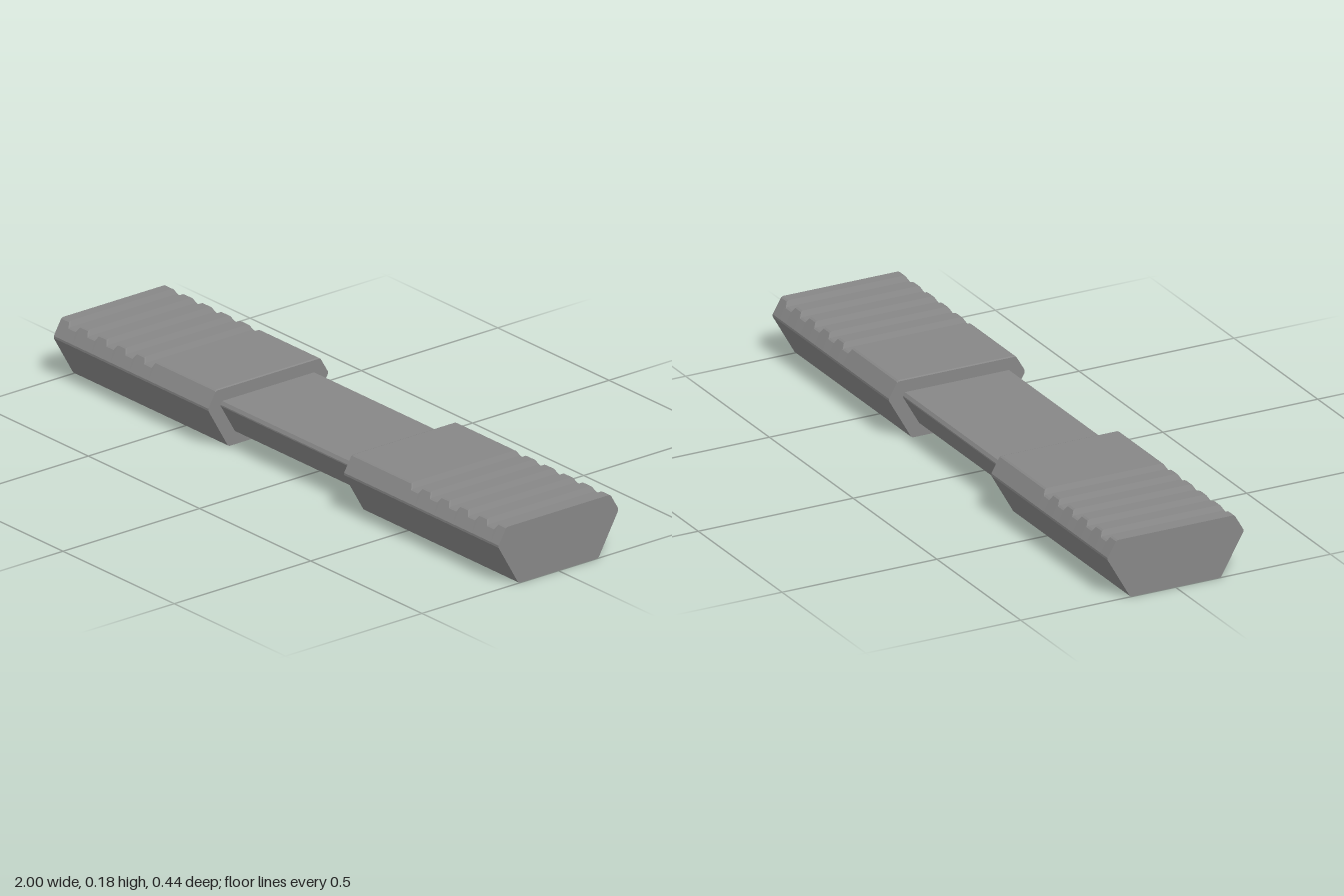
import * as THREE from 'three';

const material = new THREE.MeshStandardMaterial({ color: 0x878787, flatShading: true });

// Skin a list of equal-length rings (arrays of [x, y, z]) and cap both ends.
function loft(rings) {
  const pos = [];
  const tri = (a, b, c) => pos.push(...a, ...b, ...c);
  const n = rings[0].length;
  for (let r = 0; r < rings.length - 1; r++) {
    const a = rings[r], b = rings[r + 1];
    for (let i = 0; i < n; i++) {
      const j = (i + 1) % n;
      tri(a[i], a[j], b[j]);
      tri(a[i], b[j], b[i]);
    }
  }
  const first = rings[0], last = rings[rings.length - 1];
  for (let i = 1; i < n - 1; i++) {
    tri(first[0], first[i + 1], first[i]);
    tri(last[0], last[i], last[i + 1]);
  }
  const geometry = new THREE.BufferGeometry();
  geometry.setAttribute('position', new THREE.Float32BufferAttribute(pos, 3));
  geometry.computeVertexNormals();
  return geometry;
}

// Six-sided grip section at x, cut off at height top, with small chamfered corners.
function gripSection(x, top) {
  const topZ = 0.19 + (0.184 - top) * 0.57;
  const half = [[0.146, 0], [0.221, 0.131], [topZ, top]];
  const corners = [half[0], ...half.map(([z, y]) => [-z, y]), half[2], half[1]];
  const ring = [];
  corners.forEach((p, i) => {
    const prev = corners[(i + 5) % 6], next = corners[(i + 1) % 6];
    for (const q of [prev, next]) {
      const t = 0.004 / Math.hypot(q[0] - p[0], q[1] - p[1]);
      ring.push([x, p[1] + (q[1] - p[1]) * t, p[0] + (q[0] - p[0]) * t]);
    }
  });
  return ring;
}

// Grip with five steep-walled grooves across its top.
function gripGeometry() {
  const top = 0.184, floor = 0.169;
  const rings = [gripSection(0.305, top - 0.002), gripSection(0.31, top)];
  for (let i = 0; i < 5; i++) {
    const x = 0.6 + i * 0.085;
    rings.push(
      gripSection(x - 0.025, top), gripSection(x - 0.016, floor),
      gripSection(x + 0.016, floor), gripSection(x + 0.025, top));
  }
  rings.push(gripSection(1, top));
  return loft(rings);
}

// Rectangular ring at height y.
const rect = (y, x, z) => [[x, y, z], [x, y, -z], [-x, y, -z], [-x, y, z]];

export function createModel() {
  const group = new THREE.Group();
  group.name = 'doubleEndedGripBar';

  // Two matching grips
  const geometry = gripGeometry();
  for (const side of [1, -1]) {
    const grip = new THREE.Mesh(geometry, material);
    grip.name = side > 0 ? 'leftGrip' : 'rightGrip';
    if (side < 0) grip.rotation.y = Math.PI;
    group.add(grip);
  }

  // Connecting bar: recess floor, recess rim, underside, widest line, top
  const bar = new THREE.Mesh(loft([
    rect(0.1, 0.26, 0.09),
    rect(0.041, 0.28, 0.105),
    rect(0.041, 0.306, 0.122),
    rect(0.131, 0.306, 0.174),
    rect(0.135, 0.306, 0.174),
    rect(0.145, 0.306, 0.168),
  ]), material);
  bar.name = 'connectingBar';
  group.add(bar);

  return group;
}
